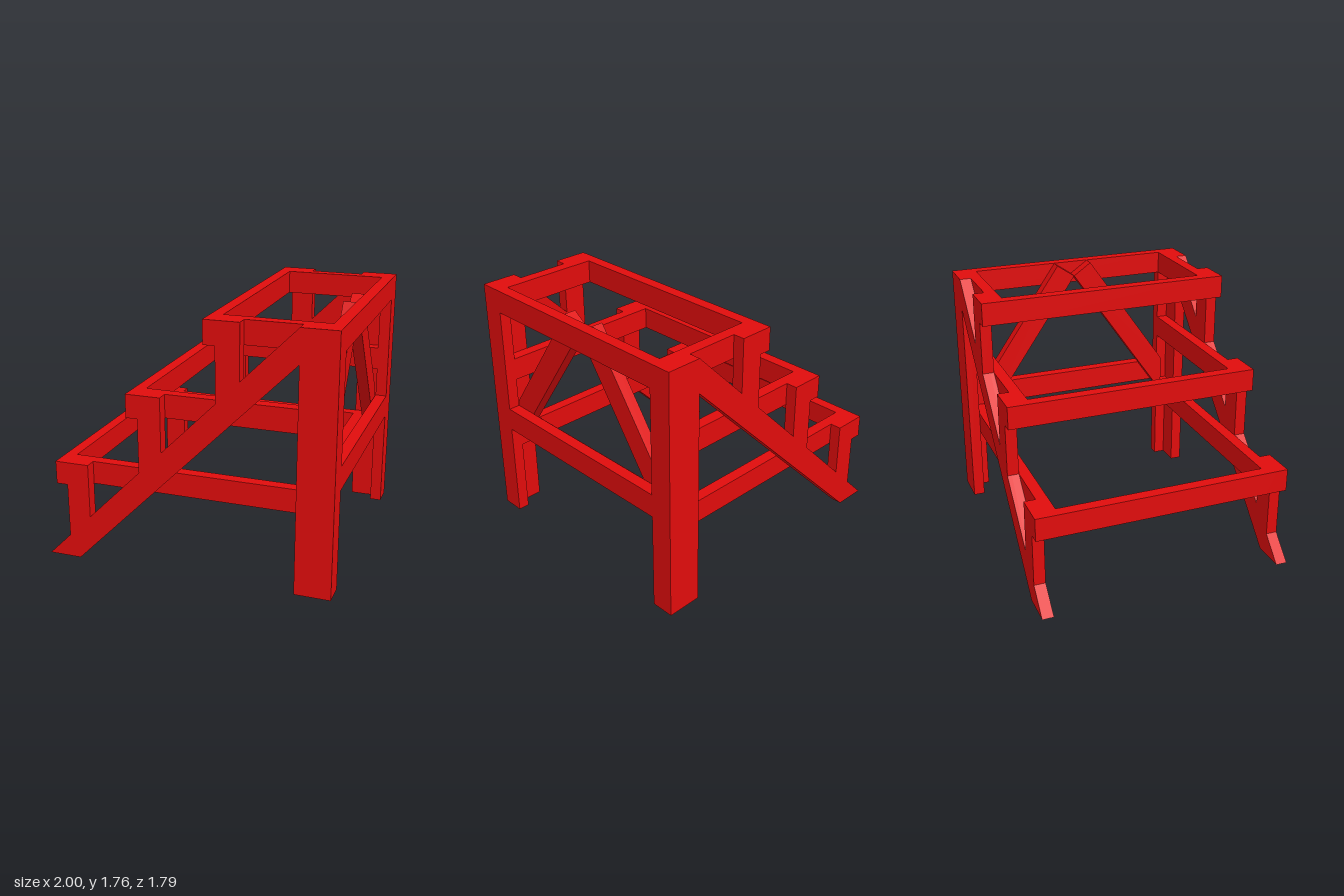
import * as THREE from 'three';

const T = 0.08;      // board thickness
const W = 0.16;      // board width
const OUT = 0.895;   // outer face in z
const MID = 0.815;   // between the outer boards and the tread rails
const INN = 0.735;   // inner face of the tread rails

export function createModel() {
  const model = new THREE.Group();
  model.name = 'stairFrame';
  const red = new THREE.MeshStandardMaterial({ color: 0xe00c0c });

  const add = (parent, name, geometry) => {
    const mesh = new THREE.Mesh(geometry, red);
    mesh.name = name;
    parent.add(mesh);
    return mesh;
  };
  // Board given by its limits on each axis
  const board = (parent, name, x0, x1, y0, y1, z0, z1) => {
    const mesh = add(parent, name, new THREE.BoxGeometry(x1 - x0, y1 - y0, z1 - z0));
    mesh.position.set((x0 + x1) / 2, (y0 + y1) / 2, (z0 + z1) / 2);
    return mesh;
  };
  // Board cut to an outline, one thickness deep
  const cutBoard = (points) => new THREE.ExtrudeGeometry(
    new THREE.Shape(points.map(([x, y]) => new THREE.Vector2(x, y))),
    { depth: T, bevelEnabled: false });

  const steps = [0, 1, 2].map((i) => ({ x: -0.92 + 0.5325 * i, top: 0.695 + 0.5325 * i }));

  // Sloping sides, step brackets, legs and tread side rails, on both sides
  for (const s of [1, -1]) {
    const side = new THREE.Group();
    side.name = s > 0 ? 'frontSide' : 'backSide';
    model.add(side);
    const zBoard = s > 0 ? MID : -OUT;
    const across = (a, b) => (s > 0 ? [a, b] : [-b, -a]);

    add(side, 'stringer', cutBoard([[-1, 0], [-0.77, 0], [0.755, 1.53], [0.755, 1.76]]))
      .position.z = zBoard;
    board(side, 'legOuterBoard', 0.755, 1, 0, 1.76, ...across(MID, OUT));
    board(side, 'legInnerBoard', 1 - T, 1, 0, 1.76, ...across(INN, MID));

    for (const { x, top } of steps) {
      add(side, 'stepBracket', cutBoard([
        [x, top], [x, top - W], [x + T, top - W], [x + T, x + 1 + T],
        [x + 0.24, x + 1.24], [x + 0.24, top],
      ])).position.z = zBoard;
      board(side, 'treadSideRail', x, 1 - T, top - W, top, ...across(INN, MID));
    }
  }

  // Front rail of each tread frame, and the rear rail of the lowest one
  for (const { x, top } of steps) {
    board(model, 'treadFrontRail', x, x + T, top - W, top, -INN, INN);
  }
  board(model, 'lowRearRail', 0.755, 0.835, 0.535, 0.695, -INN, INN);

  // Rails joining the tall legs
  board(model, 'topRearRail', 1 - T, 1, 1.6, 1.76, -INN, INN);
  board(model, 'middleRearRail', 1 - T, 1, 0.695, 0.86, -INN, INN);

  // Diagonal braces leaning together behind the rear rails
  for (const s of [1, -1]) {
    const outline = [[0, 1.67], [0.131, 1.76], [INN, 0.9], [INN, 0.695], [0.68, 0.695]];
    const brace = add(model, 'diagonalBrace', cutBoard(outline.map(([z, y]) => [z * s, y])));
    brace.rotation.y = Math.PI / 2;
    brace.position.x = 0.835;
  }
  return model;
}
